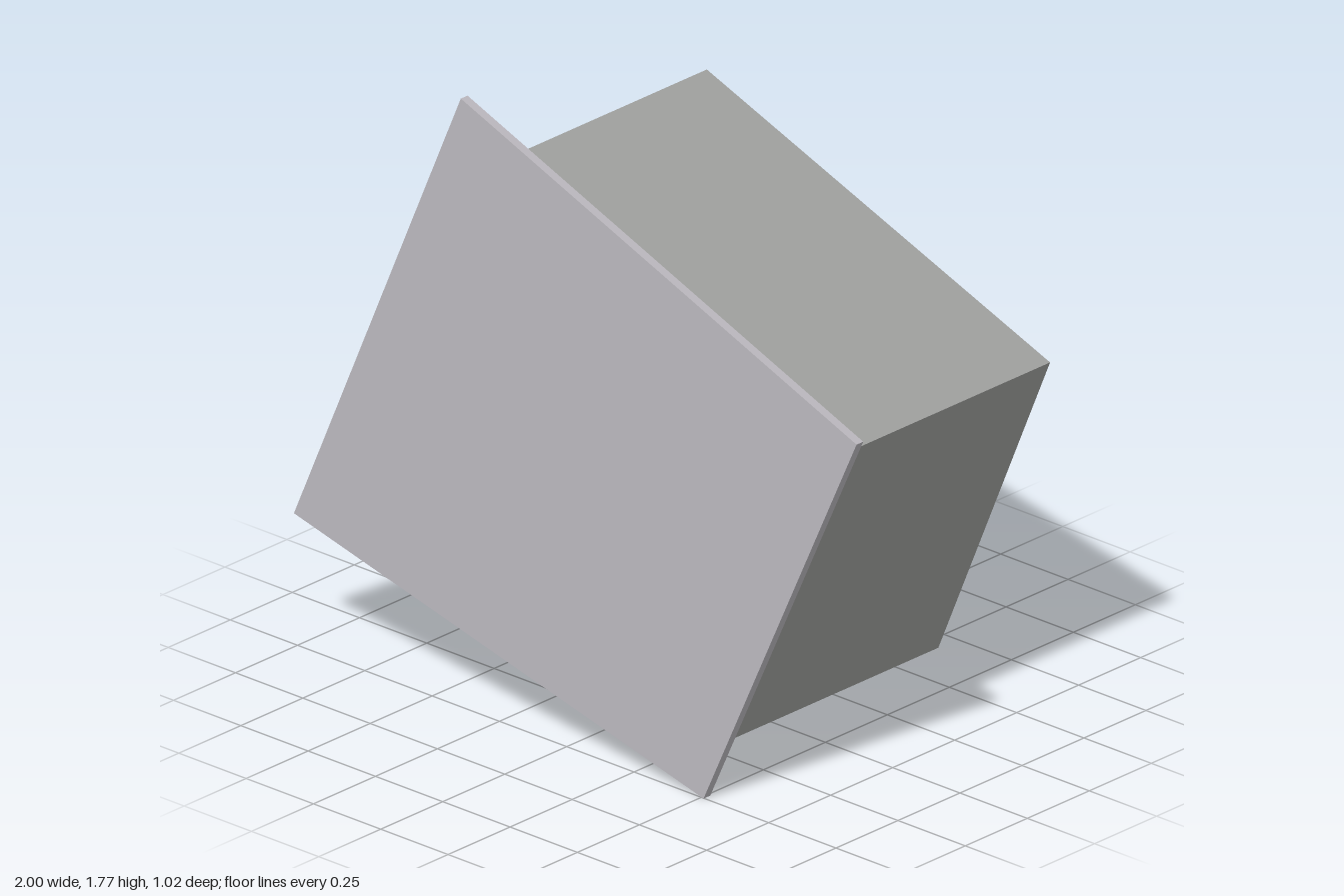
import * as THREE from 'three';

// Depth of the plate's back face at a point, tilting forward toward the lower left
const plateDepth = (x, y) => 0.4875 - 0.0665 * (0.372 * x + 0.928 * y);

// Skewed front plate: extruded quad sheared onto the tilted plane
function makePlate(material) {
  const corners = [[-1, 0.4], [0.51, 0], [1, 1.18], [-0.47, 1.77]];
  const shape = new THREE.Shape(corners.map(([x, y]) => new THREE.Vector2(x, y)));
  const geometry = new THREE.ExtrudeGeometry(shape, { depth: 0.027, bevelEnabled: false });
  const p = geometry.attributes.position;
  for (let i = 0; i < p.count; i++) {
    p.setZ(i, p.getZ(i) + plateDepth(p.getX(i), p.getY(i)));
  }
  geometry.computeVertexNormals();
  const plate = new THREE.Mesh(geometry, material);
  plate.name = 'frontPlate';
  return plate;
}

// Open-backed shell: four thin walls running from the rim to the plate
function makeShell(material) {
  const shell = new THREE.Group();
  shell.name = 'openShell';
  const corners = [[-0.865, 0.41], [0.45, 0.1], [0.865, 1.08], [-0.41, 1.57]];
  const names = ['bottomWall', 'leftWall', 'topWall', 'rightWall'];
  const back = -0.51;
  names.forEach((name, i) => {
    const [ax, ay] = corners[i];
    const [bx, by] = corners[(i + 1) % 4];
    const geometry = new THREE.BufferGeometry();
    geometry.setAttribute('position', new THREE.Float32BufferAttribute([
      ax, ay, back, bx, by, back,
      bx, by, plateDepth(bx, by), ax, ay, plateDepth(ax, ay),
    ], 3));
    geometry.setIndex([0, 1, 2, 0, 2, 3]);
    geometry.computeVertexNormals();
    const wall = new THREE.Mesh(geometry, material);
    wall.name = name;
    shell.add(wall);
  });
  return shell;
}

export function createModel() {
  const plateGrey = new THREE.MeshStandardMaterial({ color: 0xb8b5bb });
  plateGrey.name = 'pale mauve grey';
  const shellGrey = new THREE.MeshStandardMaterial({ color: 0x9e9f9d, side: THREE.DoubleSide });
  shellGrey.name = 'mid grey';

  const model = new THREE.Group();
  model.name = 'skewedOpenBox';
  model.add(makePlate(plateGrey), makeShell(shellGrey));
  return model;
}
